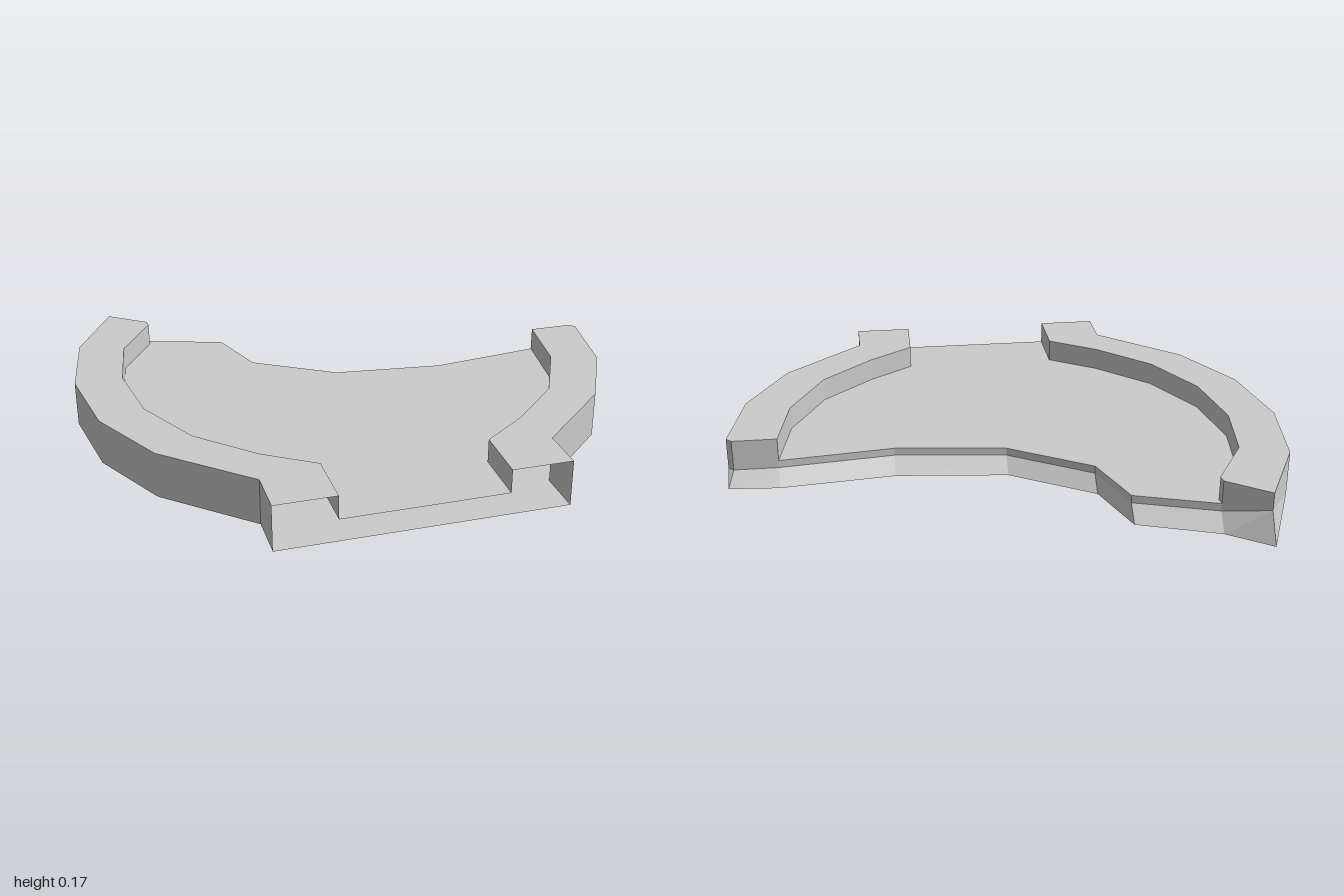
import * as THREE from 'three';

const FLOOR = 0.08, TOP = 0.165, LIP = 0.052;
const material = new THREE.MeshStandardMaterial({ color: 0xcccccc, flatShading: true, side: THREE.DoubleSide });

// Outlines as [x, z], each running front to back
const rightOuter = [[0.505, 0.87], [0.505, 0.7], [0.797, 0.43], [0.947, 0.14], [1, -0.17], [0.98, -0.19]];
const rightInner = [[0.29, 0.87], [0.295, 0.65], [0.46, 0.53], [0.655, 0.34], [0.78, 0.08], [0.82, -0.19]];
const leftOuter = [[-0.508, 0.87], [-0.508, 0.7], [-0.8, 0.43], [-0.95, 0.14], [-1, -0.19], [-0.95, -0.52], [-0.8, -0.81]];
const leftInner = [[-0.293, 0.87], [-0.293, 0.65], [-0.47, 0.53], [-0.66, 0.34], [-0.785, 0.09], [-0.825, -0.19],
  [-0.785, -0.46], [-0.657, -0.675], [-0.66, -0.705]];

// Back edge from right to left: upper line, and the foot of the slope below it
const backUpper = [[0.98, -0.19], [0.82, -0.19], [0.405, -0.14], [0, -0.19], [-0.293, -0.375], [-0.373, -0.61], [-0.66, -0.705], [-0.8, -0.81]];
const backFoot = [[1, -0.235], [0.82, -0.25], [0.405, -0.205], [0, -0.25], [-0.293, -0.435], [-0.373, -0.67], [-0.655, -0.77], [-0.8, -0.873]];

const rev = (a) => [...a].reverse();
// Lift an outline to height y (a number or one value per point)
const at = (pts, y) => pts.map(([x, z], i) => [x, Array.isArray(y) ? y[i] : y, z]);

function add(group, name, geometry) {
  const mesh = new THREE.Mesh(geometry, material);
  mesh.name = name;
  group.add(mesh);
}

// Band of faces between a lower and an upper line
function ribbon(lower, upper) {
  const p = [];
  for (let i = 0; i + 1 < lower.length; i++) {
    p.push(...lower[i], ...lower[i + 1], ...upper[i + 1]);
    p.push(...lower[i], ...upper[i + 1], ...upper[i]);
  }
  const g = new THREE.BufferGeometry();
  g.setAttribute('position', new THREE.Float32BufferAttribute(p, 3));
  g.computeVertexNormals();
  return g;
}

// Flat horizontal face filling an outline
function sheet(pts, y, down = false) {
  const shape = new THREE.Shape(pts.map(([x, z]) => new THREE.Vector2(x, down ? z : -z)));
  const g = new THREE.ShapeGeometry(shape);
  g.rotateX(down ? Math.PI / 2 : -Math.PI / 2);
  g.translate(0, y, 0);
  return g;
}

export function createModel() {
  const model = new THREE.Group();
  model.name = 'tray';

  // Floor and underside
  add(model, 'floor', sheet([...rightInner, ...backUpper.slice(2, 6), ...rev(leftInner)], FLOOR));
  add(model, 'underside', sheet([...rightOuter.slice(0, 4), ...backFoot, ...rev(leftOuter.slice(0, 6))], 0, true));

  // Rim tops
  add(model, 'leftRimTop', sheet([...rightOuter, ...rev(rightInner)], TOP));
  add(model, 'rightRimTop', sheet([...leftInner, ...rev(leftOuter)], TOP));

  // Outer walls, raised off the ground where they meet the sloped back
  add(model, 'leftOuterWall', ribbon(at(rightOuter, [0, 0, 0, 0, LIP, LIP]), at(rightOuter, TOP)));
  add(model, 'rightOuterWall', ribbon(at(rev(leftOuter), [0.1, 0, 0, 0, 0, 0, 0]), at(rev(leftOuter), TOP)));

  // Inner walls
  add(model, 'leftInnerWall', ribbon(at(rev(rightInner), FLOOR), at(rev(rightInner), TOP)));
  add(model, 'rightInnerWall', ribbon(at(leftInner, FLOOR), at(leftInner, TOP)));

  // Back edge: slope, then an upright lip that rises to the rim at both ends
  const lip = at(backUpper, backUpper.map((p, i) => (i === 7 ? 0.1 : LIP)));
  add(model, 'backSlope', ribbon(at(backFoot, 0), lip));
  add(model, 'backLip', ribbon(lip.slice(1, 7), at(backUpper.slice(1, 7), FLOOR)));
  add(model, 'leftRimEnd', ribbon(lip.slice(0, 2), at(backUpper.slice(0, 2), TOP)));
  add(model, 'rightRimEnd', ribbon(lip.slice(6), at(backUpper.slice(6), TOP)));

  // Corner facets joining the slope to the outer walls
  const a = [0.947, 0, 0.14], b = [1, LIP, -0.17], c = [0.98, LIP, -0.19], foot = [1, 0, -0.235];
  add(model, 'leftCorner', ribbon([a, foot, foot], [b, b, c]));
  const d = [-0.95, 0, -0.52];
  add(model, 'rightCorner', ribbon([[-0.8, 0, -0.873], d], [[-0.8, 0.1, -0.81], d]));
  return model;
}
